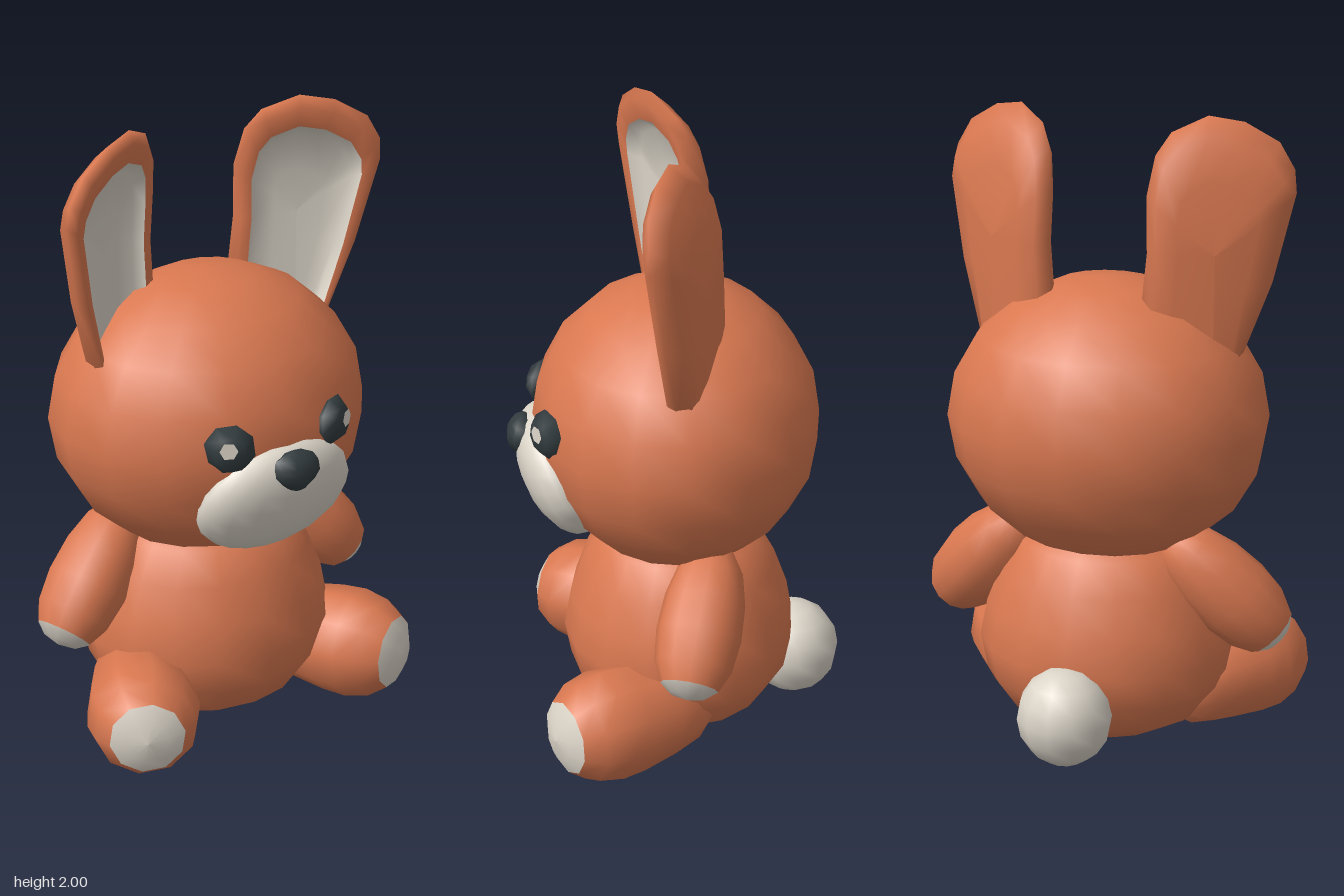
import * as THREE from 'three';

const V = (x, y, z) => new THREE.Vector3(x, y, z);

export function createModel() {
  const mat = (name, color) => {
    const m = new THREE.MeshStandardMaterial({ color });
    m.name = name;
    return m;
  };
  const fur = mat('orange fur', 0xd97850);
  const cream = mat('cream', 0xdbd4c8);
  const dark = mat('charcoal', 0x323b3e);

  const model = new THREE.Group();
  model.name = 'plushRabbit';

  const add = (name, geo, material, pos = V(0, 0, 0)) => {
    const m = new THREE.Mesh(geo, material);
    m.name = name;
    m.position.copy(pos);
    model.add(m);
    return m;
  };
  const ellipsoid = (name, material, pos, r, w = 16, h = 10) =>
    add(name, new THREE.SphereGeometry(1, w, h).scale(r.x, r.y, r.z), material, pos);
  // Lathe whose axis points along dir
  const turned = (name, profile, segs, material, pos, dir) => {
    const geo = new THREE.LatheGeometry(profile.map(([r, y]) => new THREE.Vector2(r, y)), segs);
    const m = add(name, geo, material, pos);
    m.quaternion.setFromUnitVectors(V(0, 1, 0), dir.clone().normalize());
    return m;
  };

  // Body, head and tail
  const bodyProfile = [[0, 0.01], [0.2, 0.03], [0.32, 0.1], [0.39, 0.2], [0.412, 0.31],
    [0.388, 0.43], [0.34, 0.55], [0.28, 0.65], [0.15, 0.72], [0, 0.74]];
  turned('body', bodyProfile, 16, fur, V(0, 0, -0.01), V(0, 1, 0)).scale.z = 0.9;
  ellipsoid('head', fur, V(0, 1.045, 0), V(0.51, 0.45, 0.45));
  ellipsoid('tail', cream, V(0, 0.185, -0.385), V(0.15, 0.157, 0.148), 12, 8);

  // Muzzle, tilted downwards
  ellipsoid('muzzle', cream, V(0, 0.885, 0.36), V(0.265, 0.21, 0.12), 18, 12).rotation.x = 0.45;

  // Nose, narrowing towards the bottom
  const nose = new THREE.SphereGeometry(1, 10, 8);
  const np = nose.attributes.position;
  for (let i = 0; i < np.count; i++) {
    const y = np.getY(i);
    const w = y < 0 ? 1 + 0.4 * y : 1 + 0.1 * y;
    np.setXYZ(i, np.getX(i) * w * 0.086, y * 0.065, np.getZ(i) * 0.055);
  }
  nose.computeVertexNormals();
  add('nose', nose, dark, V(0, 1.004, 0.473));

  // Ear outline, counterclockwise from the outer root
  const outline = [[0.41, 1.24], [0.5, 1.5], [0.557, 1.77], [0.548, 1.84], [0.5, 1.92],
    [0.4, 1.98], [0.3, 2.0], [0.205, 1.955], [0.168, 1.89], [0.152, 1.77], [0.158, 1.6],
    [0.142, 1.42], [0.2, 1.28], [0.3, 1.22]];
  // Rings of [inset, depth] over the outline; the top curls forwards
  const earSurface = (rings, s) => {
    const n = outline.length, pos = [], idx = [];
    for (const [t, d] of rings) {
      for (const [ox, oy] of outline) {
        const x = THREE.MathUtils.lerp(ox, 0.34, t);
        const y = oy > 1.6 ? THREE.MathUtils.lerp(oy, 1.6, t) : oy;
        const curl = 0.45 * Math.max(0, y - 1.6) ** 2;
        pos.push(s * (x - 0.3 * d), y, (x - 0.35) * 0.5 + curl + 0.9 * d);
      }
    }
    for (let j = 0; j < rings.length - 1; j++) {
      for (let i = 0; i < n; i++) {
        const a = j * n + i, b = j * n + (i + 1) % n, c = a + n, e = b + n;
        idx.push(...(s > 0 ? [a, b, c, b, e, c] : [a, c, b, b, c, e]));
      }
    }
    const g = new THREE.BufferGeometry();
    g.setAttribute('position', new THREE.Float32BufferAttribute(pos, 3));
    g.setIndex(idx);
    g.computeVertexNormals();
    return g;
  };

  for (const [side, s] of [['left', 1], ['right', -1]]) {
    // Ear shell and its hollow lining
    add(side + 'Ear', earSurface([[1, -0.065], [0.45, -0.06], [0.13, -0.045], [0, 0],
      [0.09, 0.032], [0.25, 0.028]], s), fur);
    add(side + 'EarLining', earSurface([[0.25, 0.028], [0.34, -0.01], [0.65, -0.02],
      [1, -0.022]], s), cream);

    // Eye with a thin highlight
    const look = V(s * 0.5, 0.05, 0.87).normalize();
    const eyePos = V(s * 0.188, 1.095, 0.405);
    turned(side + 'Eye', [[0, -0.03], [0.055, -0.03], [0.08, 0], [0.048, 0.034], [0, 0.038]],
      8, dark, eyePos, look);
    const glint = add(side + 'EyeHighlight', new THREE.CircleGeometry(0.028, 6), cream,
      eyePos.clone().addScaledVector(look, 0.041).add(V(s * 0.005, 0.012, 0)));
    glint.quaternion.setFromUnitVectors(V(0, 0, 1), look);

    // Arm with a paw pad
    const shoulder = V(s * 0.27, 0.68, -0.09), armDir = V(s * 0.3, -0.32, 0.11);
    turned(side + 'Arm', [[0, -0.05], [0.06, -0.03], [0.1, 0.03], [0.125, 0.13], [0.132, 0.24],
      [0.12, 0.34], [0.09, 0.405]], 12, fur, shoulder, armDir);
    turned(side + 'PawPad', [[0.09, 0.405], [0.055, 0.433], [0, 0.445]], 12, cream,
      shoulder, armDir);

    // Leg with a foot pad
    const hip = V(s * 0.25, 0.17, -0.04), legDir = V(s * 0.46, 0.03, 0.89);
    turned(side + 'Leg', [[0, -0.05], [0.08, -0.03], [0.13, 0.04], [0.155, 0.14], [0.174, 0.26],
      [0.178, 0.34], [0.16, 0.42], [0.118, 0.478]], 10, fur, hip, legDir);
    turned(side + 'FootPad', [[0.118, 0.478], [0.065, 0.505], [0, 0.515]], 10, cream,
      hip, legDir);
  }
  return model;
}
